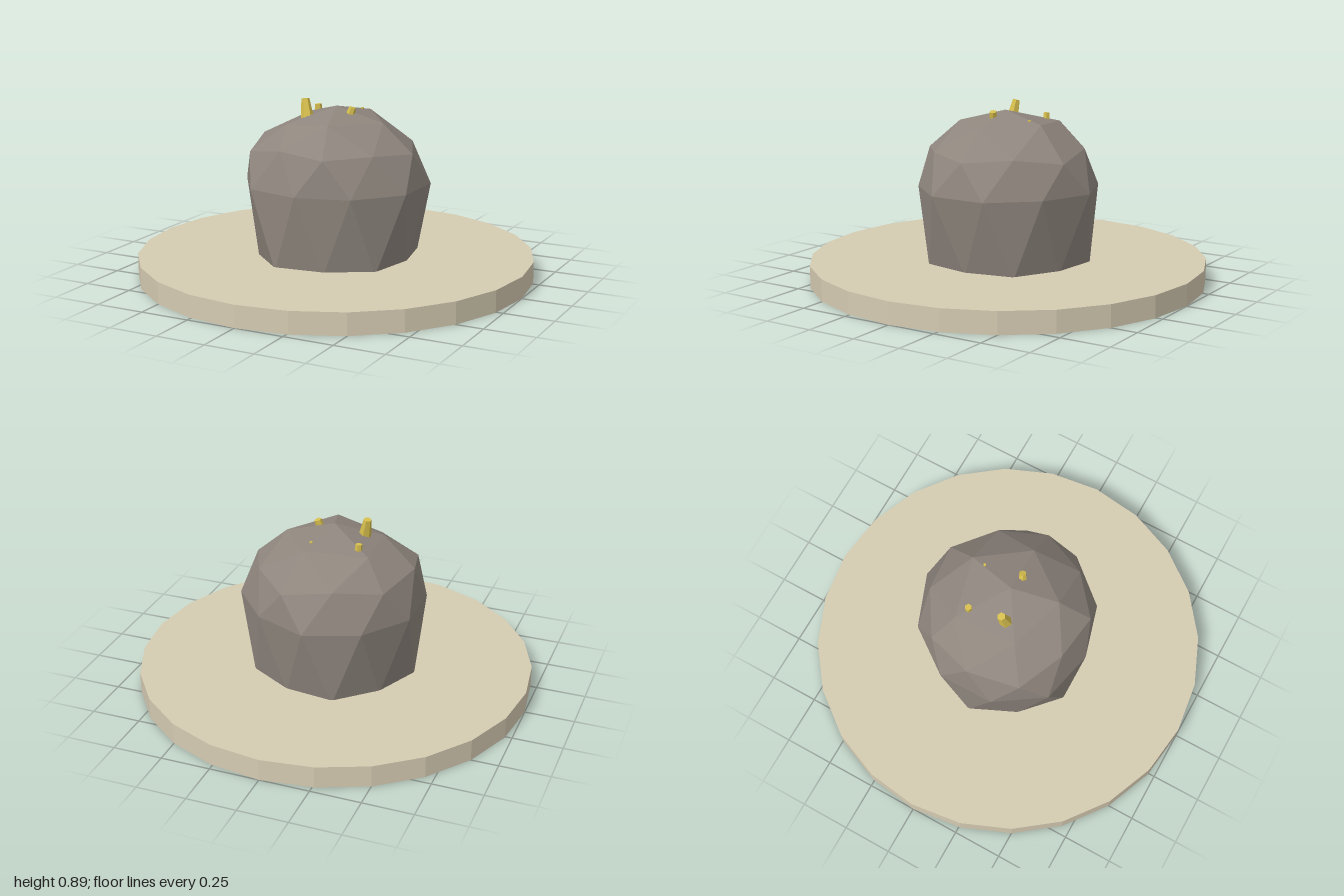
import * as THREE from 'three';

// Split shared vertices so that every facet is flat
function faceted(geometry) {
  const flat = geometry.index ? geometry.toNonIndexed() : geometry;
  flat.computeVertexNormals();
  return flat;
}

// Ring of points from [radius, height] pairs, evenly spaced from a start angle in degrees
function ring(profile, startAngle) {
  return profile.map(([r, y], i) => {
    const a = THREE.MathUtils.degToRad(startAngle + (360 / profile.length) * i);
    return new THREE.Vector3(r * Math.cos(a), y, r * Math.sin(a));
  });
}

// Faceted boulder: a slightly uneven icosphere dome on straight lower sides
function boulderGeometry() {
  const top = new THREE.Vector3(0.01, 0.86, 0.01);
  const crown = ring([[0.26, 0.79], [0.25, 0.8], [0.25, 0.77], [0.28, 0.79], [0.25, 0.81]], 0);
  const shoulder = ring([
    [0.42, 0.65], [0.39, 0.67], [0.41, 0.66], [0.38, 0.68], [0.43, 0.64],
    [0.41, 0.69], [0.41, 0.65], [0.39, 0.68], [0.42, 0.64], [0.39, 0.67],
  ], 0);
  const middle = ring([0.476, 0.45, 0.44, 0.468, 0.456, 0.456, 0.455, 0.47, 0.45, 0.478]
    .map((r) => [r, 0.48]), 18);
  const foot = ring(Array.from({ length: 10 }, (_, i) => [i % 2 ? 0.42 : 0.39, 0.09]), 0);
  const base = new THREE.Vector3(0, 0.09, 0);

  const points = [];
  const tri = (...corners) => points.push(...corners);
  for (let k = 0; k < 5; k++) {
    const a = crown[k], b = crown[(k + 1) % 5];
    const s = (i) => shoulder[(2 * k + i + 10) % 10];
    tri(top, b, a);
    tri(a, s(1), s(0));
    tri(a, s(0), s(-1));
    tri(a, b, s(1));
  }
  for (let i = 0; i < 10; i++) {
    const n = (i + 1) % 10, p = (i + 9) % 10;
    tri(shoulder[i], middle[i], middle[p]);
    tri(shoulder[i], shoulder[n], middle[i]);
    tri(middle[i], foot[n], foot[i]);
    tri(middle[i], middle[n], foot[n]);
    tri(foot[i], foot[n], base);
  }
  return faceted(new THREE.BufferGeometry().setFromPoints(points));
}

export function createModel() {
  const model = new THREE.Group();
  const sand = new THREE.MeshStandardMaterial({ name: 'sand', color: 0xd5cbb2 });
  const stone = new THREE.MeshStandardMaterial({ name: 'stone', color: 0x8f867e });
  const gold = new THREE.MeshStandardMaterial({ name: 'gold', color: 0xd6be4e });

  const add = (name, geometry, material) => {
    const mesh = new THREE.Mesh(geometry, material);
    mesh.name = name;
    model.add(mesh);
    return mesh;
  };

  // Round ground plate
  const plate = add('groundDisc', faceted(new THREE.CylinderGeometry(1, 1, 0.11, 24)), sand);
  plate.position.y = 0.055;

  add('boulder', boulderGeometry(), stone);

  // Small crystals: tip position, tip radius, foot radius, length, lean in x and z
  const crystals = [
    [[-0.148, 0.89, 0.045], 0.02, 0.033, 0.1, -0.2, -0.15],
    [[0.104, 0.86, 0.022], 0.018, 0.024, 0.06, 0.3, -0.15],
    [[-0.165, 0.835, -0.125], 0.017, 0.02, 0.06, -0.08, 0],
    [[0.065, 0.828, -0.165], 0.008, 0.01, 0.05, 0, 0],
  ];
  const up = new THREE.Vector3(0, 1, 0);
  crystals.forEach(([tip, rTip, rFoot, length, leanX, leanZ], i) => {
    const geometry = new THREE.CylinderGeometry(rTip, rFoot, length, 6);
    geometry.translate(0, -length / 2, 0);
    const crystal = add(`crystal${i + 1}`, faceted(geometry), gold);
    crystal.position.set(...tip);
    crystal.quaternion.setFromUnitVectors(up, new THREE.Vector3(leanX, 1, leanZ).normalize());
  });

  return model;
}
